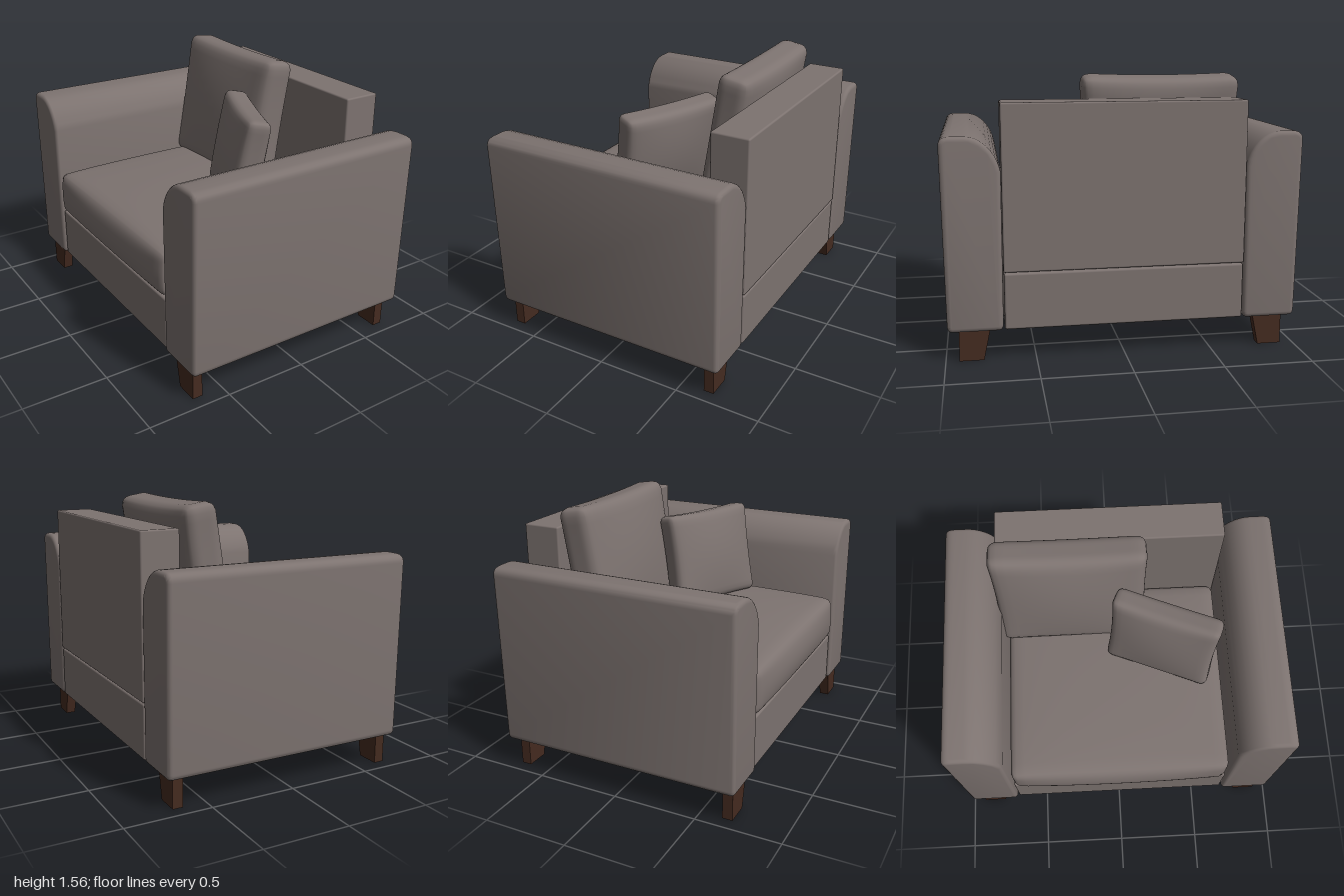
import * as THREE from 'three';
import { mergeVertices, toCreasedNormals } from 'three/addons/utils/BufferGeometryUtils.js';
import { RoundedBoxGeometry } from 'three/addons/geometries/RoundedBoxGeometry.js';

const fabric = new THREE.MeshStandardMaterial({ color: 0x7d7370 });
fabric.name = 'taupe fabric';
const wood = new THREE.MeshStandardMaterial({ color: 0x452b20 });
wood.name = 'dark wood';

function part(name, geometry, material, x = 0, y = 0, z = 0) {
  const mesh = new THREE.Mesh(geometry, material);
  mesh.name = name;
  mesh.position.set(x, y, z);
  return mesh;
}

// Rounded box given by its limits
function block(name, x0, x1, y0, y1, z0, z1, r) {
  const geo = new RoundedBoxGeometry(x1 - x0, y1 - y0, z1 - z0, 3, r);
  return part(name, geo, fabric, (x0 + x1) / 2, (y0 + y1) / 2, (z0 + z1) / 2);
}

// Dense rounded box whose points are then moved by a rule;
// the rule gets the point and its position scaled to -1..1
function softBox(w, h, d, r, rule) {
  let geo = new THREE.BoxGeometry(2, 2, 2, 18, 18, 18);
  geo.deleteAttribute('uv');
  geo.deleteAttribute('normal');
  geo = mergeVertices(geo, 1e-4);
  const half = new THREE.Vector3(w / 2, h / 2, d / 2);
  const limit = half.clone().subScalar(r);
  const low = limit.clone().negate();
  const p = new THREE.Vector3(), core = new THREE.Vector3(), unit = new THREE.Vector3();
  const pos = geo.attributes.position;
  for (let i = 0; i < pos.count; i++) {
    p.fromBufferAttribute(pos, i);
    // pack the grid lines towards the edges
    p.set(...p.toArray().map((v) => Math.sin((v * Math.PI) / 2))).multiply(half);
    core.copy(p).clamp(low, limit);
    p.sub(core).setLength(r).add(core);
    unit.copy(p).divide(half);
    rule(p, unit);
    pos.setXYZ(i, p.x, p.y, p.z);
  }
  geo.computeVertexNormals();
  return geo;
}

// Upright pillow: full in the middle, edges drawn in between the corners
function pillow(name, thick, height, width, pinch, bulge) {
  const geo = softBox(thick, height, width, thick * 0.3, (p, u) => {
    const fy = 1 - u.y * u.y, fz = 1 - u.z * u.z;
    p.x *= 1 + bulge * fy * fz;
    p.y *= 1 - pinch * fz;
    p.z *= 1 - pinch * fy;
  });
  return part(name, geo, fabric);
}

// Arm section in z and y: flat top that rolls down to the inside
function arm(side) {
  const s = new THREE.Shape();
  const X = (z) => -side * z;
  s.moveTo(X(0.71), 0.18);
  s.lineTo(X(0.955), 0.18);
  s.quadraticCurveTo(X(0.985), 0.18, X(0.986), 0.215);
  s.lineTo(X(1), 1.2);
  s.quadraticCurveTo(X(1), 1.25, X(0.94), 1.25);
  s.lineTo(X(0.87), 1.25);
  s.bezierCurveTo(X(0.78), 1.25, X(0.7), 1.17, X(0.677), 1.06);
  s.lineTo(X(0.68), 0.215);
  s.quadraticCurveTo(X(0.68), 0.18, X(0.71), 0.18);
  const bevel = 0.025;
  const geo = new THREE.ExtrudeGeometry(s, {
    depth: 1.465 - 2 * bevel, curveSegments: 8, bevelEnabled: true,
    bevelSize: bevel, bevelThickness: bevel, bevelOffset: -bevel, bevelSegments: 4,
  });
  geo.rotateY(Math.PI / 2);
  return part(side > 0 ? 'leftSideArm' : 'rightSideArm', toCreasedNormals(geo, 0.7), fabric, -0.72 + bevel, 0, 0);
}

// Leg tapering on its inner side only
function leg(x, side) {
  const s = new THREE.Shape();
  [[0.79, 0], [0.925, 0], [0.925, 0.19], [0.75, 0.19]].forEach(([z, y], i) =>
    i ? s.lineTo(-side * z, y) : s.moveTo(-side * z, y));
  const geo = new THREE.ExtrudeGeometry(s, { depth: 0.06, bevelEnabled: false });
  geo.rotateY(Math.PI / 2);
  return part('leg', geo, wood, x - 0.03, 0, 0);
}

export function createModel() {
  const group = new THREE.Group();
  group.name = 'armchair';

  // Frame
  group.add(block('seatBase', -0.705, 0.742, 0.185, 0.502, -0.673, 0.673, 0.012));
  group.add(block('backrest', 0.52, 0.745, 0.508, 1.425, -0.675, 0.675, 0.01));
  for (const side of [-1, 1]) {
    group.add(arm(side));
    for (const x of [-0.66, 0.665]) group.add(leg(x, side));
  }

  // Seat cushion with a domed top and a rounded front
  const seat = softBox(1.23, 0.27, 1.335, 0.045, (p, u) => {
    const fx = 1 - u.x * u.x, fy = 1 - u.y * u.y, fz = 1 - u.z * u.z;
    if (u.y > 0) p.y += 0.045 * u.y * Math.sqrt(Math.max(0, fx * fz));
    if (u.x < 0) p.x += 0.032 * u.x * fy * Math.sqrt(Math.max(0, fz));
  });
  group.add(part('seatCushion', seat, fabric, -0.098, 0.638, 0));

  // Back cushion leaning on the backrest
  const back = pillow('backCushion', 0.2, 0.82, 0.92, 0.03, 0.4);
  back.position.set(0.345, 1.148, -0.25);
  back.rotation.z = -0.16;
  group.add(back);

  // Loose pillow turned at an angle in front of it
  const loose = pillow('loosePillow', 0.145, 0.59, 0.66, 0.04, 0.45);
  loose.position.set(0.03, 1.082, 0.295);
  loose.rotation.set(0, -0.39, -0.18, 'YXZ');
  group.add(loose);

  return group;
}
